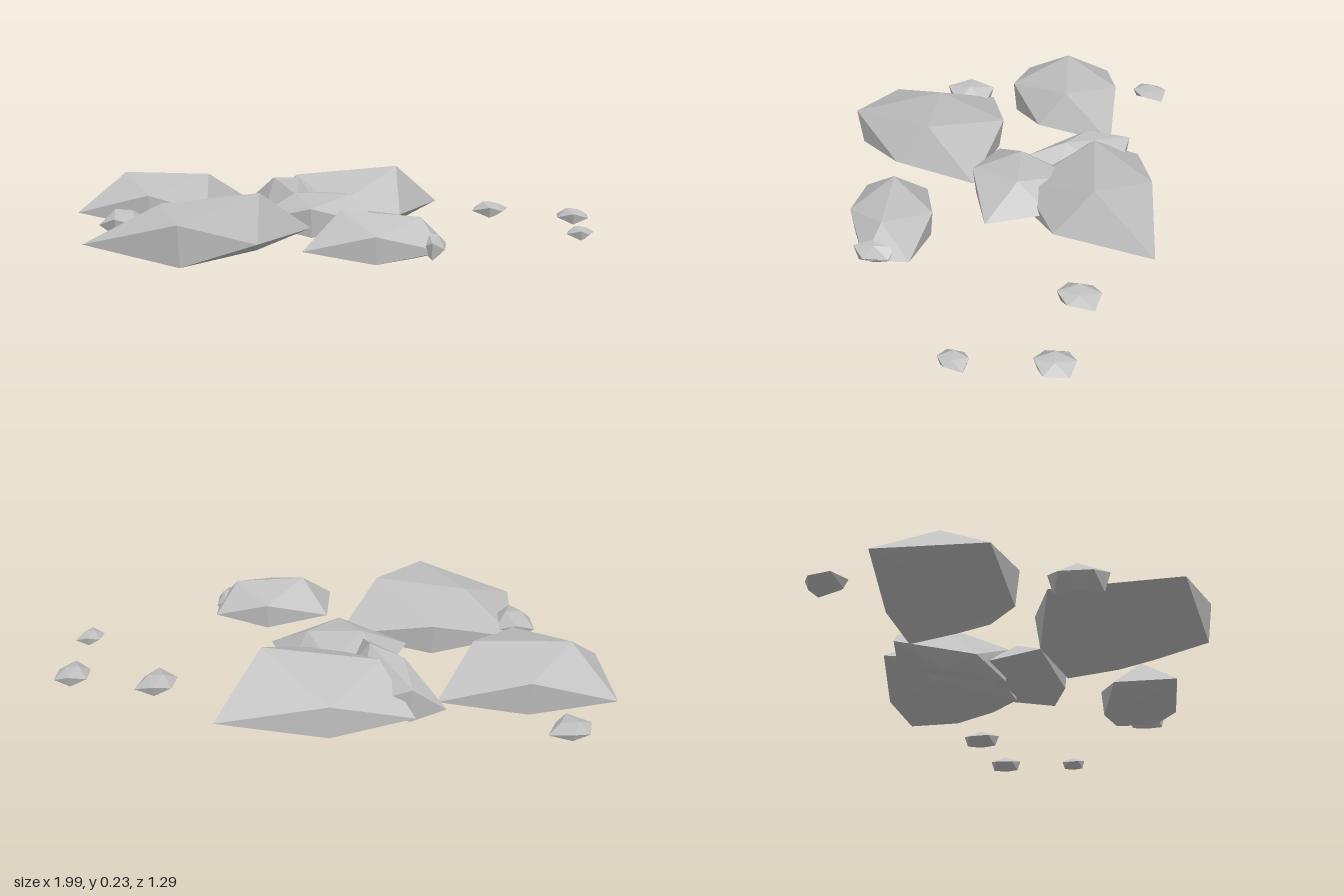
import * as THREE from 'three';

const stone = new THREE.MeshStandardMaterial({ color: 0xc0c0c0, flatShading: true });
stone.name = 'pale grey stone';

// Twenty triangles joining ridge (0,1), keel (2,3), front and back (4-7) and corners (8-11)
const FACES = [
  0, 11, 5, 0, 5, 1, 0, 1, 7, 0, 7, 10, 0, 10, 11,
  1, 5, 9, 5, 11, 4, 11, 10, 2, 10, 7, 6, 7, 1, 8,
  3, 9, 4, 3, 4, 2, 3, 2, 6, 3, 6, 8, 3, 8, 9,
  4, 9, 5, 2, 4, 11, 6, 2, 10, 8, 6, 7, 9, 8, 1,
];

// A faceted stone: ridge, front and back points are [x, y, z]; corners are [x, z] at mid height
function makeRock({ name, base, mid, ridge, front, back, corners, inset = 0.94 }) {
  const cx = (front[0] + back[0]) / 2, cz = (front[2] + back[2]) / 2;
  const under = ([x, , z]) => [cx + (x - cx) * inset, base, cz + (z - cz) * inset];
  const [bl, fl, fr, br] = corners.map(([x, z]) => [x, mid, z]);
  const points = [
    ridge[0], ridge[1], under(ridge[0]), under(ridge[1]),
    under(front), front, under(back), back, br, fr, bl, fl,
  ];
  const indexed = new THREE.BufferGeometry();
  indexed.setAttribute('position', new THREE.Float32BufferAttribute(points.flat(), 3));
  indexed.setIndex(FACES);
  const geometry = indexed.toNonIndexed();
  geometry.computeVertexNormals();
  const mesh = new THREE.Mesh(geometry, stone);
  mesh.name = name;
  return mesh;
}

// Large stones; corners run back left, front left, front right, back right as seen from above
const ROCKS = [
  {
    name: 'sideRock', base: 0.01, mid: 0.055,
    ridge: [[-0.86, 0.197, -0.21], [-0.51, 0.197, -0.21]],
    front: [-0.69, 0.14, 0.02], back: [-0.69, 0.14, -0.42],
    corners: [[-1, -0.39], [-1, -0.03], [-0.49, -0.1], [-0.37, -0.4]],
  },
  {
    name: 'backRock', base: 0, mid: 0.055, inset: 1,
    ridge: [[-0.17, 0.185, -0.33], [0.24, 0.23, -0.33]],
    front: [0.03, 0.1, -0.07], back: [0, 0.12, -0.55],
    corners: [[-0.29, -0.51], [-0.2, -0.15], [0.27, -0.19], [0.39, -0.55]],
  },
  {
    name: 'middleRock', base: 0.015, mid: 0.055,
    ridge: [[-0.12, 0.155, -0.05], [0.09, 0.155, -0.05]],
    front: [-0.03, 0.125, 0.13], back: [0, 0.13, -0.25],
    corners: [[-0.2, -0.17], [-0.29, 0.05], [0.23, 0.06], [0.15, -0.17]],
  },
  {
    name: 'frontRock', base: 0.007, mid: 0.055,
    ridge: [[-0.54, 0.165, 0.32], [-0.18, 0.212, 0.32]],
    front: [-0.38, 0.153, 0.645], back: [-0.39, 0.13, 0.04],
    corners: [[-0.71, 0.11], [-0.75, 0.54], [-0.16, 0.45], [-0.03, 0.13]],
  },
  {
    name: 'cornerRock', base: 0.02, mid: 0.055,
    ridge: [[0.12, 0.175, 0.405], [0.39, 0.16, 0.405]],
    front: [0.255, 0.115, 0.545], back: [0.26, 0.12, 0.245],
    corners: [[0.02, 0.3], [0.01, 0.535], [0.47, 0.46], [0.47, 0.3]],
  },
  {
    name: 'wedgeRock', base: 0.01, mid: 0.055,
    ridge: [[-0.26, 0.175, -0.3], [-0.14, 0.19, -0.22]],
    front: [-0.12, 0.14, -0.08], back: [-0.28, 0.14, -0.47],
    corners: [[-0.4, -0.45], [-0.27, -0.18], [-0.04, -0.2], [-0.1, -0.42]],
  },
];

// Pebbles: centre x, z, half width, half depth, bottom, top, sideways lean
const PEBBLES = [
  [-0.795, -0.575, 0.08, 0.07, 0.045, 0.085, 0.02],
  [0.62, -0.29, 0.07, 0.075, 0.045, 0.1, 0.01],
  [0.935, -0.222, 0.058, 0.067, 0.04, 0.095, 0],
  [0.94, 0.09, 0.05, 0.05, 0.04, 0.085, 0.01],
  [-0.72, 0.21, 0.078, 0.1, 0.03, 0.12, 0],
  [0.435, 0.425, 0.04, 0.075, 0.03, 0.11, 0],
];

function makePebble([x, z, w, d, y0, y1, lean], i) {
  const mid = y0 + (y1 - y0) * 0.42, upper = mid + (y1 - mid) * 0.6;
  return makeRock({
    name: `pebble${i + 1}`, base: y0, mid, inset: 0.8,
    ridge: [[x - w * 0.4, y1, z], [x + w * 0.4, y1 - 0.005, z]],
    front: [x, upper, z + d], back: [x, upper, z - d],
    corners: [
      [x - w + lean, z - d * 0.6], [x - w, z + d * 0.5],
      [x + w - lean * 2, z + d * 0.5], [x + w, z - d * 0.7],
    ],
  });
}

export function createModel() {
  const group = new THREE.Group();
  group.name = 'scatteredRocks';
  group.add(...ROCKS.map(makeRock), ...PEBBLES.map(makePebble));
  return group;
}
